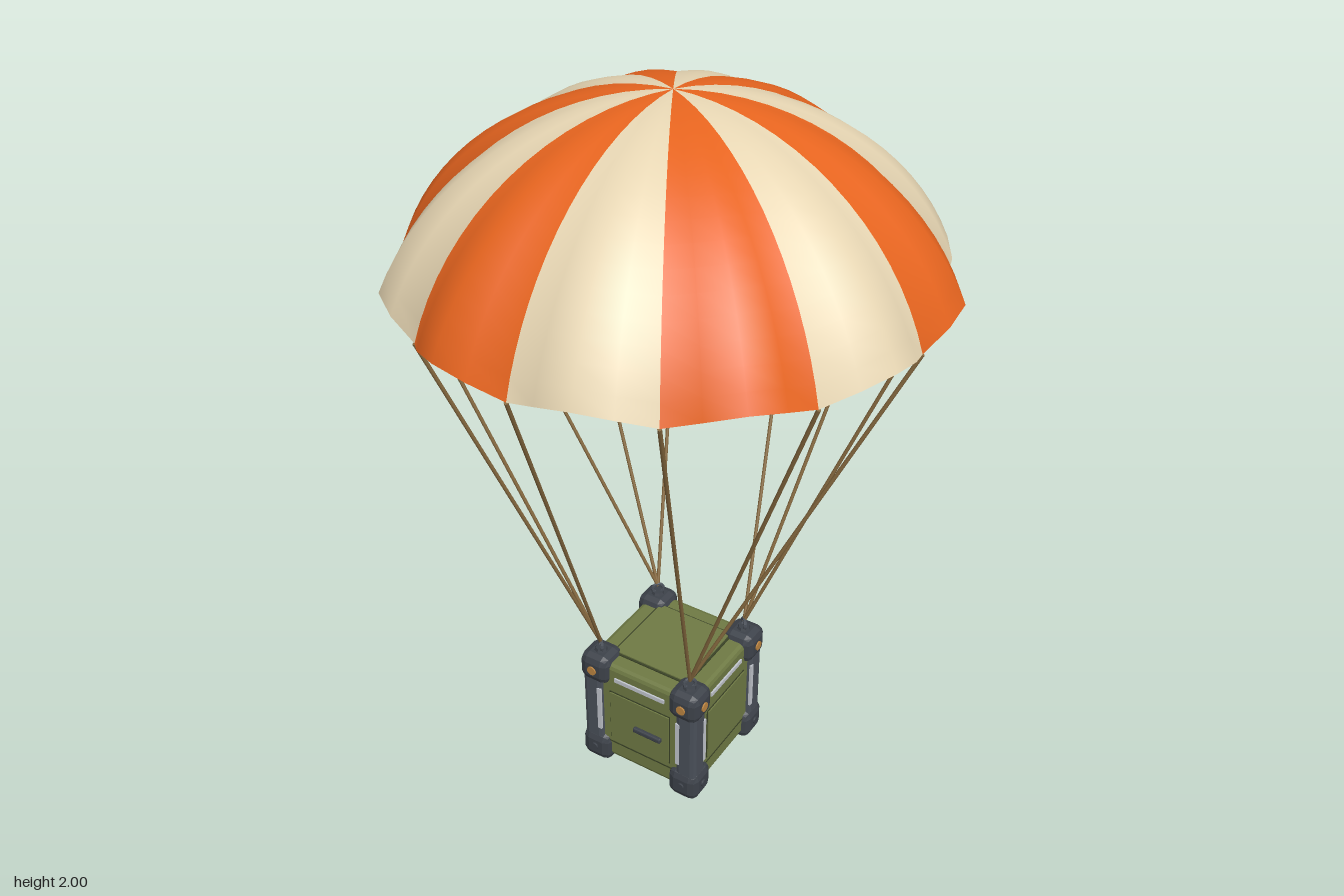
import * as THREE from 'three';
import { RoundedBoxGeometry } from 'three/addons/geometries/RoundedBoxGeometry.js';

const mat = (name, color, extra = {}) => {
  const m = new THREE.MeshStandardMaterial({ color, ...extra });
  m.name = name;
  return m;
};

export function createModel() {
  const model = new THREE.Group();
  model.name = 'parachuteCrate';
  const orange = mat('orangeCloth', 0xe8651f, { side: THREE.DoubleSide });
  const cream = mat('creamCloth', 0xe8d7b4, { side: THREE.DoubleSide });
  const cord = mat('brownCord', 0x86693f);
  const green = mat('oliveGreen', 0x6f7a44, { flatShading: true });
  const groove = mat('darkGroove', 0x3a4226);
  const capSteel = mat('darkSteel', 0x3d424a, { flatShading: true });
  const postSteel = mat('greySteel', 0x4a5059, { flatShading: true });
  const silver = mat('silverStrip', 0xc2c6ce);
  const brass = mat('brassBolt', 0xbd8540);

  const add = (parent, name, geometry, material, x = 0, y = 0, z = 0) => {
    const mesh = new THREE.Mesh(geometry, material);
    mesh.name = name;
    mesh.position.set(x, y, z);
    parent.add(mesh);
    return mesh;
  };
  const box = (w, h, d) => new THREE.BoxGeometry(w, h, d);
  const chamfered = (w, h, d, r) => new RoundedBoxGeometry(w, h, d, 1, r);

  // Canopy: twelve billowing gores on a spherical cap, alternating in colour
  const GORES = 12, ACROSS = 4, DOWN = 16;
  const RIM_R = 0.65, RIM_Y = 1.525, CAP_R = 0.682, CAP_A = 1.262;

  function canopyGeometry() {
    const around = GORES * ACROSS, pos = [], index = [];
    for (let j = 0; j <= DOWN; j++) {
      const s = j / DOWN, a = s * CAP_A;
      for (let i = 0; i < around; i++) {
        const phi = i * Math.PI * 2 / around;
        const puff = Math.sin(Math.PI * (i % ACROSS) / ACROSS) ** 1.2;
        const r = CAP_R * Math.sin(a) + 0.043 * puff * s ** 1.5;
        const y = 2 - CAP_R * (1 - Math.cos(a)) + 0.047 * puff * s * s;
        pos.push(r * Math.cos(phi), y, r * Math.sin(phi));
      }
    }
    const g = new THREE.BufferGeometry();
    for (let k = 0; k < GORES; k++) {
      const start = index.length;
      for (let i = k * ACROSS; i < (k + 1) * ACROSS; i++) {
        const n = (i + 1) % around;
        for (let j = 0; j < DOWN; j++) {
          const p = j * around, q = p + around;
          if (j > 0) index.push(p + i, p + n, q + i);
          index.push(p + n, q + n, q + i);
        }
      }
      g.addGroup(start, index.length - start, k % 2);
    }
    g.setAttribute('position', new THREE.Float32BufferAttribute(pos, 3));
    g.setIndex(index);
    g.computeVertexNormals();
    // All crown vertices share one upright normal
    for (let i = 0; i < around; i++) g.attributes.normal.setXYZ(i, 0, 1, 0);
    return g;
  }
  add(model, 'canopy', canopyGeometry(), [cream, orange]);

  // Suspension lines: three seams to each corner of the crate
  const lines = new THREE.Group();
  lines.name = 'suspensionLines';
  model.add(lines);
  const up = new THREE.Vector3(0, 1, 0);
  const CORNER = 0.147;
  for (let i = 0; i < GORES; i++) {
    const phi = i * Math.PI * 2 / GORES;
    const corner = Math.PI / 4 + Math.floor(i / 3) * Math.PI / 2;
    const top = new THREE.Vector3(RIM_R * Math.cos(phi), RIM_Y, RIM_R * Math.sin(phi));
    const low = new THREE.Vector3(Math.cos(corner), 0, Math.sin(corner))
      .multiplyScalar(CORNER * Math.SQRT2).setY(0.418);
    const dir = top.clone().sub(low);
    const line = add(lines, 'suspensionLine',
      new THREE.CylinderGeometry(0.005, 0.005, dir.length(), 14), cord);
    line.position.copy(low).addScaledVector(dir, 0.5);
    line.quaternion.setFromUnitVectors(up, dir.normalize());
  }

  // Crate body and lid
  const crate = new THREE.Group();
  crate.name = 'crate';
  model.add(crate);
  add(crate, 'crateBody', chamfered(0.35, 0.35, 0.35, 0.014), green, 0, 0.196, 0);
  add(crate, 'lidGroove', box(0.25, 0.004, 0.25), groove, 0, 0.372, 0);
  add(crate, 'lidPanel', box(0.238, 0.007, 0.238), green, 0, 0.374, 0);

  // Four sides: framed panel, groove, silver strips and corner bolts
  for (let k = 0; k < 4; k++) {
    const side = new THREE.Group();
    side.name = 'crateSide';
    side.rotation.y = k * Math.PI / 2;
    crate.add(side);
    add(side, 'panelGroove', box(0.202, 0.18, 0.004), groove, 0, 0.188, 0.175);
    add(side, 'sidePanel', box(0.196, 0.174, 0.007), green, 0, 0.188, 0.177);
    add(side, 'lowerGroove', box(0.22, 0.004, 0.003), groove, 0, 0.08, 0.175);
    add(side, 'labelStrip', box(0.165, 0.013, 0.008), silver, 0, 0.328, 0.176);
    for (const s of [-1, 1]) {
      add(side, 'postStrip', box(0.013, 0.155, 0.007), silver, s * 0.132, 0.2, 0.185);
      const bolt = add(side, 'brassBolt',
        new THREE.CylinderGeometry(0.014, 0.014, 0.009, 14), brass, s * 0.148, 0.345, 0.194);
      bolt.rotation.x = Math.PI / 2;
      const stud = add(side, 'lowerStud',
        new THREE.CylinderGeometry(0.011, 0.011, 0.009, 14), capSteel, s * 0.148, 0.05, 0.195);
      stud.rotation.x = Math.PI / 2;
    }
  }

  // Door handle on the front
  add(crate, 'doorHandle', chamfered(0.092, 0.016, 0.014, 0.004), capSteel, 0.03, 0.18, 0.185);

  // Corner posts, caps and lifting rings
  for (const sx of [-1, 1]) for (const sz of [-1, 1]) {
    const post = new THREE.Group();
    post.name = 'cornerPost';
    post.position.set(sx * CORNER, 0, sz * CORNER);
    crate.add(post);
    add(post, 'postBar', chamfered(0.064, 0.32, 0.064, 0.014), postSteel, sx * 0.008, 0.197, sz * 0.008);
    add(post, 'topCap', chamfered(0.095, 0.092, 0.095, 0.024), capSteel, 0, 0.345, 0);
    add(post, 'bottomCap', chamfered(0.095, 0.095, 0.095, 0.024), capSteel, 0, 0.0475, 0);
    add(post, 'ringBase', new THREE.CylinderGeometry(0.016, 0.02, 0.01, 8), capSteel, 0, 0.394, 0);
    const ring = add(post, 'liftingRing',
      new THREE.TorusGeometry(0.016, 0.005, 6, 14), postSteel, 0, 0.408, 0);
    ring.rotation.y = sx * sz * Math.PI / 4;
  }
  return model;
}
